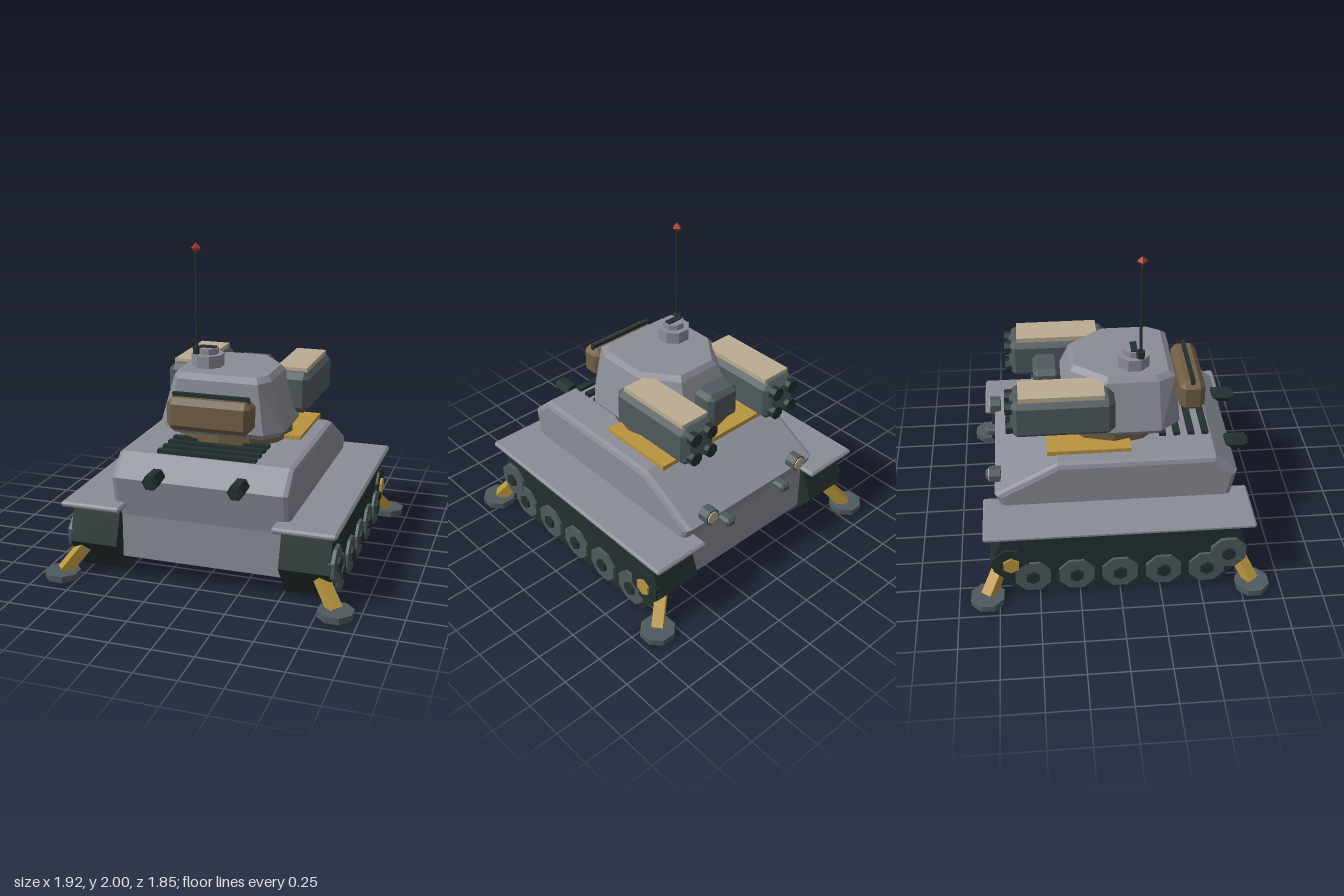
import * as THREE from 'three';
import { ConvexGeometry } from 'three/addons/geometries/ConvexGeometry.js';

const material = (name, color) => {
  const m = new THREE.MeshStandardMaterial({ color });
  m.name = name;
  return m;
};

// Faceted normals
function flat(geometry) {
  const g = geometry.index ? geometry.toNonIndexed() : geometry;
  g.computeVertexNormals();
  return g;
}

// Box with every edge cut at an angle
function chamferBox(w, h, d, c) {
  const points = [];
  for (const x of [-0.5, 0.5]) for (const y of [-0.5, 0.5]) for (const z of [-0.5, 0.5]) {
    const sx = Math.sign(x) * c, sy = Math.sign(y) * c, sz = Math.sign(z) * c;
    points.push(
      new THREE.Vector3(x * w, y * h - sy, z * d - sz),
      new THREE.Vector3(x * w - sx, y * h, z * d - sz),
      new THREE.Vector3(x * w - sx, y * h - sy, z * d));
  }
  return new ConvexGeometry(points);
}

// Side profile of [z, y] points, extruded across x and centred
function sideExtrude(profile, width, bevel) {
  const shape = new THREE.Shape(profile.map(([z, y]) => new THREE.Vector2(z, y)));
  const g = new THREE.ExtrudeGeometry(shape, {
    depth: width - 2 * bevel, bevelEnabled: bevel > 0,
    bevelThickness: bevel, bevelSize: bevel, bevelSegments: 2,
  });
  g.translate(0, 0, bevel - width / 2);
  g.rotateY(-Math.PI / 2);
  return flat(g);
}

// Many-sided cylinder along the chosen axis
function prism(radius, length, sides, axis = 'y', turn = 0) {
  const g = new THREE.CylinderGeometry(radius, radius, length, sides, 1, false, turn);
  if (axis === 'x') g.rotateZ(Math.PI / 2);
  if (axis === 'z') g.rotateX(Math.PI / 2);
  return flat(g);
}

export function createModel() {
  const model = new THREE.Group();
  model.name = 'tank';
  const grey = material('armour grey', 0x8a8d96);
  const dark = material('dark green', 0x22302f);
  const slate = material('slate', 0x4f595d);
  const brown = material('brown', 0x705e44);
  const yellow = material('ochre yellow', 0xb8953f);
  const beige = material('beige', 0xbbac91);
  const red = material('signal red', 0xa8332b);

  const add = (name, geometry, mat, x = 0, y = 0, z = 0, parent = model) => {
    const mesh = new THREE.Mesh(geometry, mat);
    mesh.name = name;
    mesh.position.set(x, y, z);
    parent.add(mesh);
    return mesh;
  };
  const OCT = Math.PI / 8;

  // Hull
  add('lowerHull', flat(new THREE.BoxGeometry(1.01, 0.31, 1.4)), grey, 0, 0.285, 0);
  add('upperHull', sideExtrude([[0.6, 0.75], [0.715, 0.645], [0.675, 0.445],
    [-0.665, 0.445], [-0.71, 0.55], [-0.35, 0.75]], 1.11, 0.035), grey);

  // Deck grille
  for (let i = 0; i < 4; i++) {
    add('deckGrilleBar', new THREE.BoxGeometry(0.62, 0.03, 0.042), dark, 0, 0.793, 0.31 + i * 0.09);
  }

  // Running gear, mirrored on both sides
  for (const s of [-1, 1]) {
    add('fender', chamferBox(0.385, 0.036, 1.66, 0.012), grey, s * 0.662, 0.475, 0);
    add('track', sideExtrude([[0.73, 0.435], [0.8, 0.23], [0.63, 0.012],
      [-0.63, 0.012], [-0.8, 0.23], [-0.72, 0.435]], 0.305, 0), dark, s * 0.66);

    for (let i = -2; i <= 2; i++) {
      add('roadWheel', prism(0.118, 0.04, 8, 'x', OCT), slate, s * 0.81, 0.14, i * 0.27);
      add('wheelHub', prism(0.046, 0.03, 6, 'x', Math.PI / 6), dark, s * 0.83, 0.14, i * 0.27);
    }
    add('idlerWheel', prism(0.118, 0.04, 8, 'x', OCT), slate, s * 0.815, 0.25, 0.67);
    add('idlerHub', prism(0.046, 0.03, 6, 'x', Math.PI / 6), dark, s * 0.835, 0.25, 0.67);
    add('driveWheel', prism(0.118, 0.04, 8, 'x', OCT), dark, s * 0.81, 0.25, -0.67);
    add('driveHub', prism(0.055, 0.03, 6, 'x', Math.PI / 6), yellow, s * 0.83, 0.25, -0.67);

    // Stabiliser legs and feet
    for (const e of [-1, 1]) {
      const top = new THREE.Vector3(s * 0.57, 0.43, e * 0.59);
      const foot = new THREE.Vector3(s * 0.855, 0.035, e * 0.82);
      const mid = top.clone().add(foot).multiplyScalar(0.5);
      const leg = add('stabiliserLeg', flat(new THREE.BoxGeometry(0.07, 0.07, top.distanceTo(foot))),
        yellow, mid.x, mid.y, mid.z);
      leg.lookAt(foot);
      add('stabiliserFoot', prism(0.11, 0.04, 8, 'y', OCT), slate, s * 0.86, 0.02, e * 0.825);
    }

    // Front and rear lamps
    add('frontLamp', prism(0.05, 0.13, 6, 'z', Math.PI / 6 * 3), dark, s * 0.262, 0.685, 0.78);
    add('frontLampLens', prism(0.036, 0.02, 6, 'z', Math.PI / 6 * 3), dark, s * 0.262, 0.685, 0.85);
    add('rearLamp', prism(0.055, 0.07, 8, 'z', OCT), slate, s * 0.38, 0.605, -0.75);
    add('rearLampLens', prism(0.042, 0.009, 8, 'z', OCT), beige, s * 0.38, 0.605, -0.788);
    add('towBlock', chamferBox(0.075, 0.06, 0.11, 0.015), slate, s * 0.24, 0.495, -0.762);
  }

  // Turret mount
  add('mountPlate', flat(new THREE.BoxGeometry(0.9, 0.03, 0.52)), yellow, 0, 0.795, -0.162);
  add('turretRing', prism(0.37, 0.085, 12), brown, 0, 0.822, 0);

  // Turret: stacked eight-sided outlines [y, half outline of x, z]
  const rings = [
    [0.855, [[0.28, 0.375], [0.37, 0.27], [0.37, -0.04], [0.19, -0.34]]],
    [0.895, [[0.3, 0.415], [0.4, 0.29], [0.4, -0.05], [0.21, -0.38]]],
    [1.2, [[0.255, 0.385], [0.312, 0.28], [0.312, -0.04], [0.15, -0.255]]],
    [1.232, [[0.235, 0.345], [0.285, 0.26], [0.285, -0.03], [0.13, -0.23]]],
  ];
  const turretPoints = rings.flatMap(([y, outline]) => outline.flatMap(([x, z]) =>
    [new THREE.Vector3(x, y, z), new THREE.Vector3(-x, y, z)]));
  add('turret', new ConvexGeometry(turretPoints), grey);

  // Front sensor housing and rear stowage box
  add('sensorHousing', chamferBox(0.525, 0.2, 0.16, 0.035), brown, 0, 1.028, 0.5);
  add('sensorTopStrip', new THREE.BoxGeometry(0.48, 0.035, 0.025), dark, 0, 1.133, 0.5);
  add('rearStowageBox', chamferBox(0.24, 0.22, 0.17, 0.03), slate, 0, 1.07, -0.4);

  // Launchers
  for (const s of [-1, 1]) {
    const launcher = new THREE.Group();
    launcher.name = 'launcher';
    launcher.position.set(s * 0.342, 1.053, -0.317);
    model.add(launcher);
    add('launcherBody', chamferBox(0.258, 0.262, 0.635, 0.04), slate, 0, 0, 0, launcher);
    add('launcherTopPlate', flat(new THREE.BoxGeometry(0.2, 0.03, 0.52)), beige, 0, 0.138, -0.005, launcher);
    for (const x of [-0.062, 0.062]) for (const y of [-0.068, 0.068]) {
      add('launchTube', prism(0.045, 0.06, 8, 'z', OCT), dark, x, y, -0.317, launcher);
    }
  }

  // Cupola
  add('cupola', prism(0.103, 0.085, 8, 'y', OCT), grey, -0.143, 1.267, 0.137);
  add('cupolaHatch', prism(0.068, 0.04, 8, 'y', OCT), grey, -0.143, 1.327, 0.137);
  add('cupolaSlot', new THREE.BoxGeometry(0.11, 0.014, 0.04), dark, -0.143, 1.349, 0.137);

  // Antenna
  add('antennaBase', prism(0.027, 0.045, 6), dark, -0.203, 1.333, 0.174);
  add('antennaRod', prism(0.009, 0.61, 6), dark, -0.203, 1.655, 0.174);
  add('antennaTip', flat(new THREE.OctahedronGeometry(0.033)), red, -0.203, 1.967, 0.174);

  return model;
}
